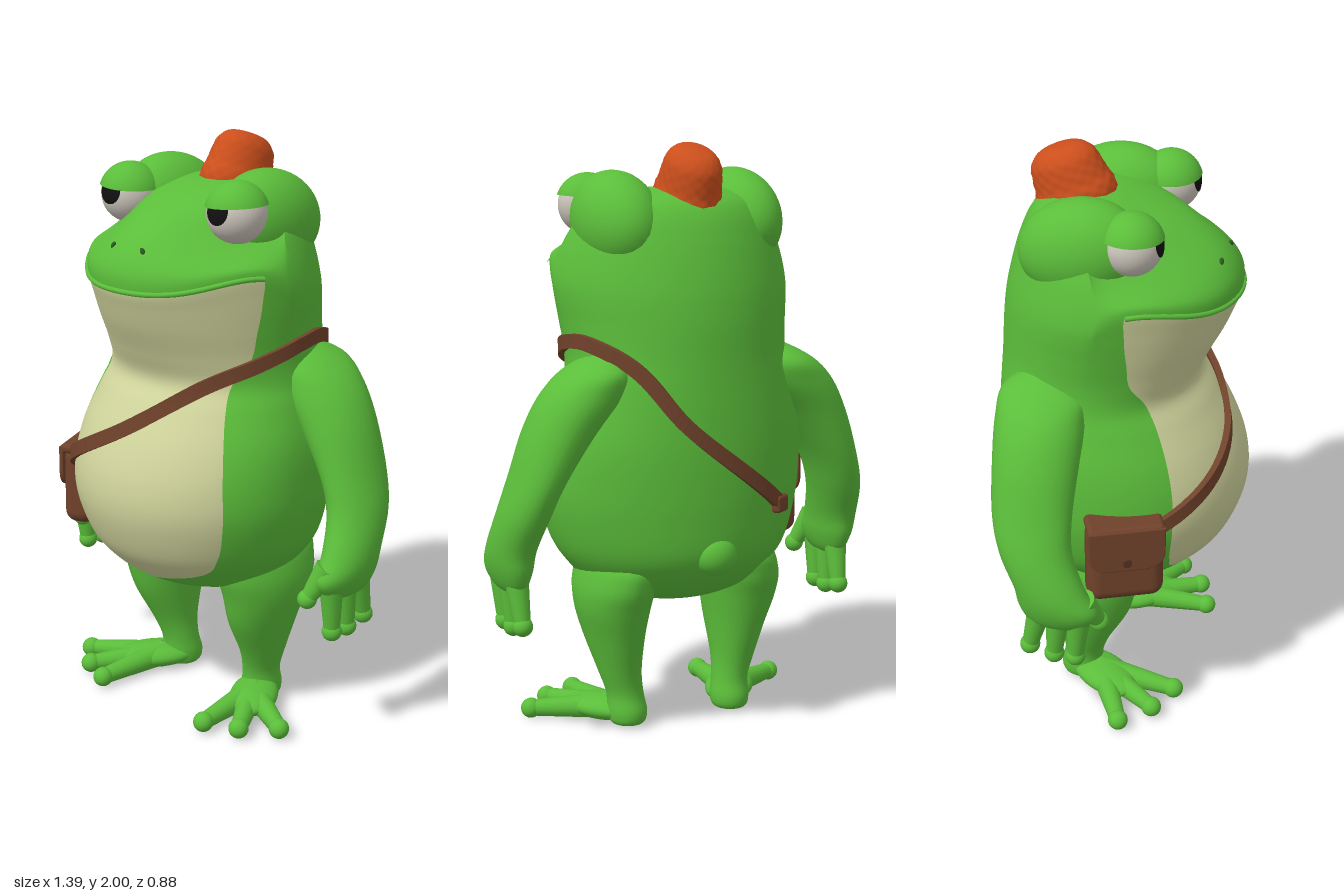
import * as THREE from 'three';
import { RoundedBoxGeometry } from 'three/addons/geometries/RoundedBoxGeometry.js';

const mat = (name, color, side = THREE.FrontSide) => {
  const m = new THREE.MeshStandardMaterial({ color, side });
  m.name = name;
  return m;
};
const V = (x, y, z) => new THREE.Vector3(x, y, z);

// Smooth interpolation through table rows; u counts rows
function sample(rows, u) {
  const i = Math.min(Math.floor(u), rows.length - 2), t = u - i;
  const at = k => rows[Math.max(0, Math.min(rows.length - 1, k))];
  return rows[0].map((_, c) => {
    const [a, b, d, e] = [at(i - 1)[c], at(i)[c], at(i + 1)[c], at(i + 2)[c]];
    return b + 0.5 * t * (d - a + t * (2 * a - 5 * b + 4 * d - e + t * (3 * (b - d) + e - a)));
  });
}

// Closed rings stacked upward; isSecond sends faces to a second material group
function rings(nRows, nCols, point, isSecond = () => false) {
  const pos = [], first = [], second = [];
  for (let i = 0; i <= nRows; i++)
    for (let j = 0; j < nCols; j++) pos.push(...point(i, j).toArray());
  for (let i = 0; i < nRows; i++)
    for (let j = 0; j < nCols; j++) {
      const k = (j + 1) % nCols, a = i * nCols + j, b = i * nCols + k;
      (isSecond(i, j) ? second : first).push(a, b, a + nCols, b, b + nCols, a + nCols);
    }
  const g = new THREE.BufferGeometry();
  g.setAttribute('position', new THREE.Float32BufferAttribute(pos, 3));
  g.setIndex([...first, ...second]);
  g.addGroup(0, first.length, 0);
  g.addGroup(first.length, second.length, 1);
  g.computeVertexNormals();
  return g;
}

// Torso and head: y, half width, front z, back z, half width of the pale front
const BODY = [
  [0.44, 0, -0.05, -0.05, 0], [0.455, 0.16, 0.12, -0.18, 0], [0.5, 0.29, 0.24, -0.28, 0],
  [0.57, 0.36, 0.33, -0.355, 0.235], [0.65, 0.41, 0.39, -0.4, 0.315], [0.78, 0.445, 0.434, -0.415, 0.355],
  [0.9, 0.45, 0.43, -0.42, 0.355], [1.02, 0.44, 0.385, -0.42, 0.335], [1.14, 0.41, 0.315, -0.415, 0.3],
  [1.22, 0.39, 0.268, -0.41, 0.285], [1.31, 0.383, 0.3, -0.405, 0.33], [1.41, 0.395, 0.35, -0.4, 0.355],
  [1.485, 0.408, 0.38, -0.392, 0.375], [1.545, 0.413, 0.4, -0.382, 0.385], [1.615, 0.402, 0.394, -0.366, 0.36],
  [1.695, 0.373, 0.338, -0.343, 0.31], [1.77, 0.33, 0.23, -0.312, 0.26], [1.82, 0.27, 0.11, -0.27, 0.2],
  [1.85, 0.16, 0, -0.2, 0.1], [1.86, 0, -0.1, -0.1, 0],
];
const MOUTH = 13;
const bump = (y, mid, w) => Math.exp(-(((y - mid) / w) ** 2));

// Point on the body at row u and angle f, measured from the front towards +x
function skin(u, f, out = 0) {
  const [y, w, zf, zb] = sample(BODY, u);
  const c = Math.cos(f), s = Math.sin(f), half = (zf - zb) / 2;
  const depth = c > 0 ? c ** (1 + 2 * bump(y, 1.74, 0.09) + 0.35 * bump(y, 1.5, 0.18))
    : -((-c) ** (1 - 0.22 * bump(y, 1.0, 0.32)));
  const smile = 0.19 * s ** 4 * Math.max(0, c) * bump(y, 1.545, 0.08);
  return V(Math.max(0, w) * s + out * s, y + smile, (zf + zb) / 2 + half * depth + out * c);
}
function paleAngle(u) {
  const [, w, , , x] = sample(BODY, u);
  return w > 0.01 ? Math.asin(Math.max(0, Math.min(0.97, x / w))) : 0;
}
function rowAt(y) {
  let lo = 0, hi = BODY.length - 1;
  for (let k = 0; k < 30; k++) {
    const m = (lo + hi) / 2;
    if (sample(BODY, m)[0] < y) lo = m; else hi = m;
  }
  return lo;
}

// Limb from elliptical rings listed bottom to top: x, y, z, x radius, z radius
function limb(rows, side) {
  const step = 5;
  return rings((rows.length - 1) * step, 28, (i, j) => {
    const [x, y, z, rx, rz] = sample(rows, i / step), f = j / 28 * Math.PI * 2;
    return V(side * x + Math.max(0, rx) * Math.sin(f), y, z + Math.max(0, rz) * Math.cos(f));
  });
}
const ARM = [
  [0.612, 0.52, -0.06, 0, 0], [0.612, 0.54, -0.06, 0.04, 0.09], [0.615, 0.6, -0.055, 0.068, 0.135],
  [0.615, 0.68, -0.085, 0.078, 0.122], [0.592, 0.8, -0.138, 0.085, 0.125], [0.55, 0.92, -0.16, 0.092, 0.135],
  [0.47, 1.08, -0.168, 0.122, 0.145], [0.385, 1.2, -0.175, 0.142, 0.15], [0.335, 1.28, -0.18, 0.1, 0.13],
  [0.3, 1.345, -0.18, 0, 0],
];
const LEG = [
  [0.2, 0.008, -0.1, 0, 0], [0.2, 0.015, -0.1, 0.055, 0.06], [0.2, 0.055, -0.1, 0.068, 0.074],
  [0.205, 0.12, -0.09, 0.064, 0.07], [0.22, 0.2, -0.08, 0.074, 0.09], [0.235, 0.33, -0.065, 0.1, 0.145],
  [0.243, 0.44, -0.07, 0.122, 0.182], [0.235, 0.53, -0.075, 0.127, 0.212], [0.21, 0.62, -0.07, 0.11, 0.2],
  [0.2, 0.68, -0.05, 0, 0],
];

export function createModel() {
  const model = new THREE.Group();
  const green = mat('skin green', 0x5bbd3a), pale = mat('belly cream', 0xcfd39b);
  const white = mat('eye white', 0xcbc5ba), black = mat('pupil black', 0x101010);
  const dark = mat('nostril green', 0x2c5c1f), orange = mat('hat orange', 0xcc4f1c, THREE.DoubleSide);
  const brown = mat('leather brown', 0x70422b, THREE.DoubleSide), deep = mat('dark leather', 0x54301f);
  const add = (name, geo, m, p = [0, 0, 0], parent = model) => {
    const mesh = new THREE.Mesh(geo, m);
    mesh.name = name;
    mesh.position.set(...p);
    parent.add(mesh);
    return mesh;
  };
  const ball = (name, m, p, r) => {
    const mesh = add(name, new THREE.SphereGeometry(1, 32, 24), m, p);
    mesh.scale.set(...(Array.isArray(r) ? r : [r, r, r]));
    return mesh;
  };
  // Tapered finger or toe with a round tip
  const digit = (name, from, to, r0, r1, tip) => {
    const a = V(...from), b = V(...to), d = b.clone().sub(a);
    const rod = add(name, new THREE.CylinderGeometry(r1, r0, d.length(), 14), green, a.clone().add(b).multiplyScalar(0.5).toArray());
    rod.quaternion.setFromUnitVectors(V(0, 1, 0), d.normalize());
    ball(name + 'Tip', green, to, tip);
  };

  // Torso and head in one skin, pale on belly and throat
  const step = 6, cols = 72, front = 28;
  add('body', rings((BODY.length - 1) * step, cols, (i, j) => {
    const u = i / step, a = paleAngle(u);
    const f = j <= front ? a * (2 * j / front - 1) : a + (2 * Math.PI - 2 * a) * (j - front) / (cols - front);
    return skin(u, f);
  }, (i, j) => j < front && i >= 2 * step && i < MOUTH * step), [green, pale]);
  const corner = paleAngle(MOUTH);
  const lip = Array.from({ length: 25 }, (_, k) => skin(MOUTH, corner * (k / 12 - 1)));
  add('lip', new THREE.TubeGeometry(new THREE.CatmullRomCurve3(lip), 60, 0.009, 10), green);
  ball('tailBump', green, [0, 0.65, -0.372], [0.075, 0.07, 0.062]);

  for (const s of [1, -1]) {
    // Eyes with heavy lids, on ridges running back over the head
    const eye = [s * 0.25, 1.79, 0.095];
    ball('eyeBulge', green, [s * 0.225, 1.745, -0.08], [0.14, 0.165, 0.21]).rotation.x = -0.25;
    ball('eyeball', white, eye, 0.1);
    const lid = add('eyelid', new THREE.SphereGeometry(0.108, 36, 16, 0, Math.PI * 2, 0, 1.31), green, eye);
    lid.rotation.set(0, 0, s * 0.06);
    const pupil = add('pupil', new THREE.SphereGeometry(0.103, 24, 8, 0, Math.PI * 2, 0, 0.46), black, eye);
    pupil.rotation.x = Math.PI / 2 - 0.2;
    const n = skin(rowAt(1.675), s * 0.18);
    ball('nostril', dark, n.toArray(), [0.008, 0.013, 0.008]).rotation.z = s * 0.5;

    // Arm and four-fingered hand
    add('arm', limb(ARM, s), green);
    [[0.015, 0.0, 0.408], [-0.055, -0.075, 0.405], [-0.12, -0.16, 0.425]].forEach(([z0, z1, y]) =>
      digit('finger', [s * 0.614, 0.585, z0], [s * 0.608, y, z1], 0.042, 0.027, 0.034));
    digit('thumb', [s * 0.608, 0.64, 0.025], [s * 0.557, 0.53, 0.07], 0.046, 0.026, 0.033);

    // Leg, foot and toes
    add('leg', limb(LEG, s), green);
    ball('foot', green, [s * 0.25, 0.05, -0.005], [0.085, 0.044, 0.15]).rotation.y = s * 0.62;
    [[0.255, 0.255], [0.375, 0.205], [0.475, 0.11]].forEach(([x, z]) =>
      digit('toe', [s * 0.23, 0.052, -0.02], [s * x, 0.038, z], 0.046, 0.028, 0.035));
  }

  // Small knitted hat, deeper than wide, tipped backwards
  const outline = [[0.095, -0.06], [0.108, -0.01], [0.108, 0.025], [0.101, 0.055], [0.095, 0.1], [0.085, 0.14], [0.055, 0.172], [0, 0.181]]
    .map(p => new THREE.Vector2(...p));
  const profile = new THREE.SplineCurve(outline).getPoints(40).map(p => p.setX(Math.max(0, p.x)));
  const hatGeo = new THREE.LatheGeometry(profile, 60), hp = hatGeo.attributes.position;
  for (let i = 0; i < hp.count; i++) {
    const a = Math.atan2(hp.getX(i), hp.getZ(i)), y = hp.getY(i);
    const k = 1 + 0.015 * Math.sin(a * 14) * Math.sin(y * 150 + Math.sin(a * 3));
    hp.setXYZ(i, hp.getX(i) * k, y, hp.getZ(i) * k * 1.27);
  }
  hatGeo.computeVertexNormals();
  add('hat', hatGeo, orange, [0, 1.818, -0.157]).rotation.x = -0.38;

  // Shoulder strap lying on the skin: angle, y
  const track = [[-1.15, 0.81], [-0.8, 0.885], [-0.1, 1.04], [0.55, 1.215], [1.1, 1.3], [1.57, 1.35],
    [1.95, 1.355], [2.4, 1.28], [2.85, 1.1], [3.3, 0.94], [3.72, 0.8]];
  const n = 110, along = k => {
    const [f, y] = sample(track, Math.max(0, Math.min(n, k)) / n * (track.length - 1));
    return { p: skin(rowAt(y), f, 0.008), out: V(Math.sin(f), 0, Math.cos(f)) };
  };
  const strap = rings(n, 4, (i, j) => {
    const { p, out } = along(i), t = along(i + 1).p.sub(along(i - 1).p).normalize();
    const across = t.clone().cross(out).normalize(), up = across.clone().cross(t);
    const [a, b] = [[-1, -1], [1, -1], [1, 1], [-1, 1]][j];
    return p.addScaledVector(across, a * 0.024).addScaledVector(up, b * 0.011);
  }).toNonIndexed();
  strap.clearGroups();
  strap.computeVertexNormals();
  add('strap', strap, brown);
  const end = along(n);
  add('strapEnd', new RoundedBoxGeometry(0.07, 0.06, 0.035, 3, 0.012), brown, end.p.toArray()).rotation.y = 3.72;

  // Satchel on the right hip
  const bag = new THREE.Group();
  bag.name = 'satchel';
  bag.position.set(-0.448, 0.73, 0.125);
  bag.rotation.y = -1.13;
  model.add(bag);
  add('bagBody', new RoundedBoxGeometry(0.26, 0.29, 0.115, 5, 0.045), brown, [0, 0, 0], bag);
  const flap = new THREE.Shape();
  flap.moveTo(-0.125, 0.065);
  flap.lineTo(-0.125, -0.03);
  flap.quadraticCurveTo(-0.12, -0.08, -0.06, -0.085);
  flap.lineTo(0.06, -0.085);
  flap.quadraticCurveTo(0.12, -0.08, 0.125, -0.03);
  flap.lineTo(0.125, 0.065);
  add('bagFlap', new THREE.ExtrudeGeometry(flap, { depth: 0.008, bevelSize: 0.004, bevelThickness: 0.004, bevelSegments: 2 }), brown, [0, 0.075, 0.054], bag);
  add('bagLid', new RoundedBoxGeometry(0.258, 0.035, 0.12, 4, 0.016), brown, [0, 0.135, 0.004], bag);
  add('bagButton', new THREE.CylinderGeometry(0.015, 0.015, 0.01, 16), deep, [0, 0.02, 0.068], bag).rotation.x = Math.PI / 2;
  return model;
}
